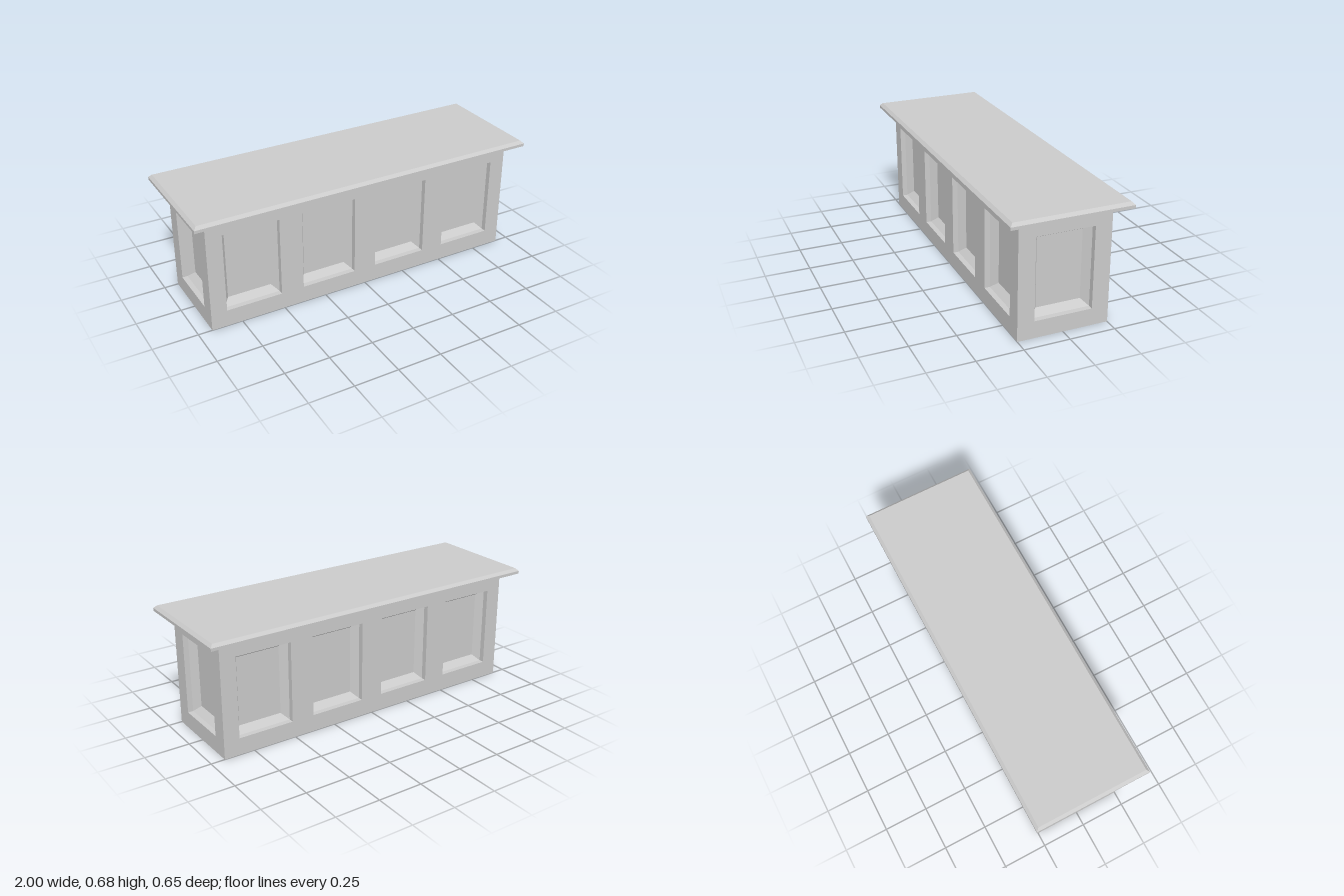
import * as THREE from 'three';

const BODY = { w: 1.844, h: 0.645, d: 0.502 };
const TOP = { w: 2, d: 0.654, edge: 0.016 };
const PANEL = { w: 0.318, h: 0.455, y: 0.3225, wall: 0.03, bevel: 0.035 };

const material = new THREE.MeshStandardMaterial({ color: 0xcccccc, flatShading: true });

function addMesh(parent, name, geometry) {
  const mesh = new THREE.Mesh(geometry, material);
  mesh.name = name;
  parent.add(mesh);
  return mesh;
}

// Skin through rectangles [width, height, z], closed on the last one
function loftRects(rects) {
  const rings = rects.map(([w, h, z]) =>
    [[-1, -1], [1, -1], [1, 1], [-1, 1]].map(([sx, sy]) => [sx * w / 2, sy * h / 2, z]));
  const pos = [];
  const quad = (a, b, c, d) => pos.push(...a, ...b, ...c, ...a, ...c, ...d);
  for (let i = 0; i < rings.length - 1; i++) {
    for (let j = 0; j < 4; j++) {
      const k = (j + 1) % 4;
      quad(rings[i][j], rings[i][k], rings[i + 1][k], rings[i + 1][j]);
    }
  }
  quad(...rings[rings.length - 1]);
  const geometry = new THREE.BufferGeometry();
  geometry.setAttribute('position', new THREE.Float32BufferAttribute(pos, 3));
  geometry.computeVertexNormals();
  return geometry;
}

function rectPoints(Path, x0, y0, x1, y1) {
  return new Path().moveTo(x0, y0).lineTo(x1, y0).lineTo(x1, y1).lineTo(x0, y1).closePath();
}

// One side of the body: a flat face with openings and a recessed panel in each
function createSide(name, width, centres) {
  const side = new THREE.Group();
  side.name = name;
  const { w, h, y, wall, bevel } = PANEL;
  const face = rectPoints(THREE.Shape, -width / 2, 0, width / 2, BODY.h);
  for (const x of centres) {
    face.holes.push(rectPoints(THREE.Path, x - w / 2, y - h / 2, x + w / 2, y + h / 2));
    const recess = loftRects([
      [w, h, 0],
      [w, h, -wall],
      [w - 2 * bevel, h - 2 * bevel, -wall - bevel],
    ]);
    addMesh(side, 'recessedPanel', recess).position.set(x, y, 0);
  }
  addMesh(side, 'sideFace', new THREE.ShapeGeometry(face));
  return side;
}

export function createModel() {
  const model = new THREE.Group();
  model.name = 'counter';

  // Four panelled sides
  const longCentres = [-0.6735, -0.2245, 0.2245, 0.6735];
  const sides = [
    ['frontSide', BODY.w, BODY.d, longCentres],
    ['leftSide', BODY.d, BODY.w, [0]],
    ['backSide', BODY.w, BODY.d, longCentres],
    ['rightSide', BODY.d, BODY.w, [0]],
  ];
  sides.forEach(([name, width, depth, centres], i) => {
    const side = createSide(name, width, centres);
    const angle = i * Math.PI / 2;
    side.rotation.y = angle;
    side.position.set(Math.sin(angle) * depth / 2, 0, Math.cos(angle) * depth / 2);
    model.add(side);
  });

  // Underside of the body
  addMesh(model, 'base', new THREE.PlaneGeometry(BODY.w, BODY.d)).rotation.x = Math.PI / 2;

  // Overhanging countertop with a chamfered upper edge
  const top = new THREE.Group();
  top.name = 'countertop';
  top.position.y = BODY.h;
  const { w, d, edge } = TOP;
  const slab = loftRects([[w, d, 0], [w, d, edge], [w - 2 * edge, d - 2 * edge, 2 * edge]]);
  addMesh(top, 'countertopSlab', slab).rotation.x = -Math.PI / 2;
  addMesh(top, 'countertopUnderside', new THREE.PlaneGeometry(w, d)).rotation.x = Math.PI / 2;
  model.add(top);

  return model;
}
